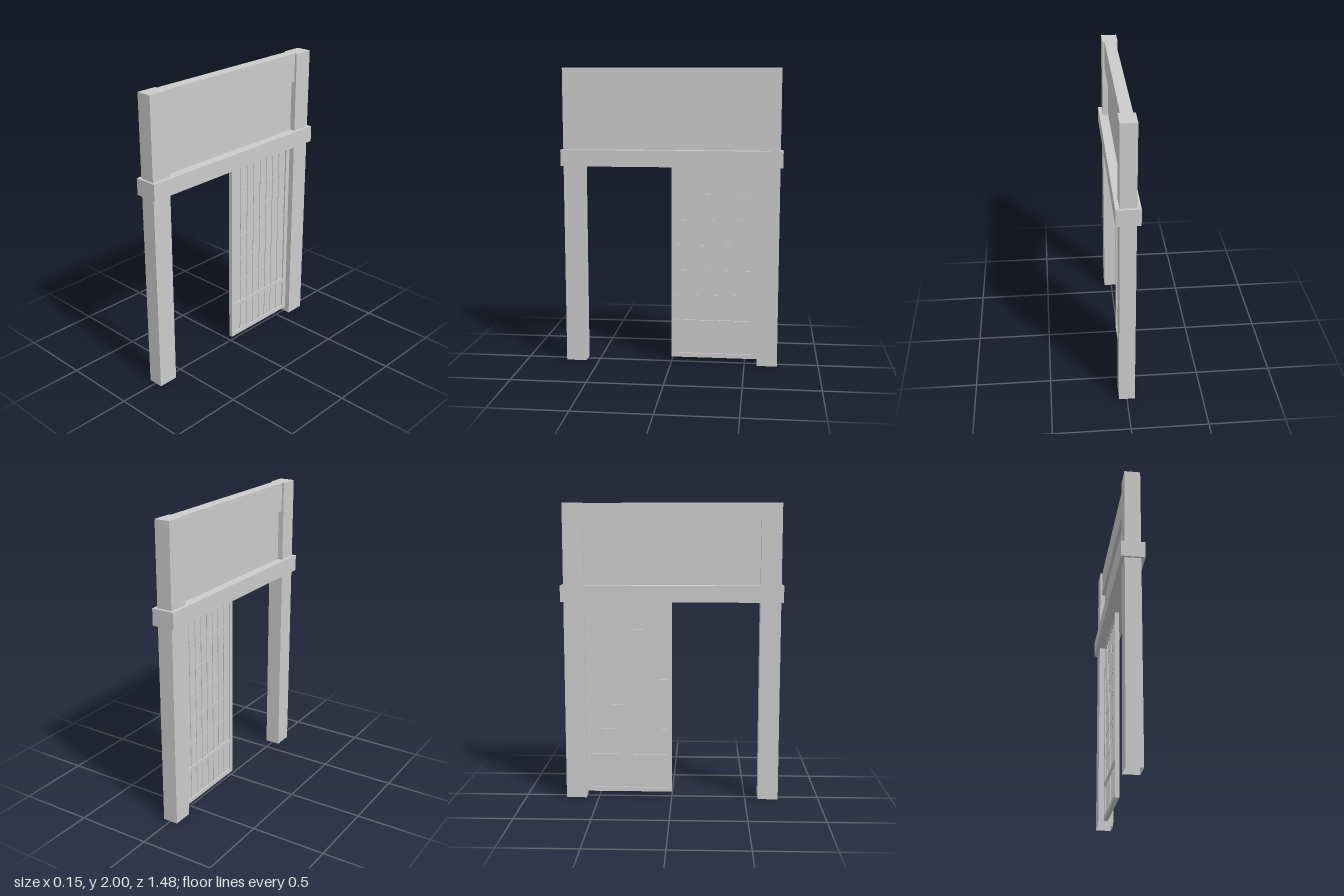
import * as THREE from 'three';

const material = new THREE.MeshStandardMaterial({ color: 0xcccccc, flatShading: true });
const openMaterial = new THREE.MeshStandardMaterial({ color: 0xcccccc, flatShading: true, side: THREE.DoubleSide });

// Box centred on x = 0, given its thickness and its y and z ranges
function slab(name, thickness, y0, y1, z0, z1) {
  const mesh = new THREE.Mesh(new THREE.BoxGeometry(thickness, y1 - y0, z1 - z0), material);
  mesh.position.set(0, (y0 + y1) / 2, (z0 + z1) / 2);
  mesh.name = name;
  return mesh;
}

// Hollow post, open at the foot
function makePost(name, z0, z1) {
  const post = slab(name, 0.104, 0, 2, z0, z1);
  const index = Array.from(post.geometry.index.array);
  index.splice(18, 6); // drop the bottom face
  post.geometry.setIndex(index);
  post.geometry.clearGroups();
  post.material = openMaterial;
  return post;
}

// Sliding lattice door: frame, paper and thin bars on both sides
function makeDoor() {
  const door = new THREE.Group();
  door.name = 'slidingDoor';
  const bottom = 0.035, top = 1.36, back = -0.59;
  const inner = -0.03, outer = -0.55;
  const railLow = 0.27, railHigh = 0.298, latticeTop = 1.33, kickBottom = 0.063;
  const frame = 0.028;

  door.add(
    slab('doorPaper', 0.008, bottom + 0.01, top - 0.01, back + 0.01, -0.01),
    slab('frontStile', frame, bottom, top, inner, 0),
    slab('backStile', frame, bottom, top, back, outer),
    slab('bottomRail', frame, bottom, kickBottom, outer, inner),
    slab('middleRail', frame, railLow, railHigh, outer, inner),
    slab('topRail', frame, latticeTop, top, outer, inner)
  );

  // Upright bars run through the lattice and the kick panel
  const columns = 8, rows = 6, half = 0.004;
  for (let i = 1; i < columns; i++) {
    const z = inner + ((outer - inner) * i) / columns;
    door.add(slab('latticeUpright', 0.018, railHigh, latticeTop, z - half, z + half));
    door.add(slab('kickPanelUpright', 0.018, kickBottom, railLow, z - half, z + half));
  }
  // Cross bars sit slightly behind the uprights
  for (let i = 1; i < rows; i++) {
    const y = railHigh + ((latticeTop - railHigh) * i) / rows;
    door.add(slab('latticeCrossBar', 0.014, y - half, y + half, outer, inner));
  }
  return door;
}

export function createModel() {
  const model = new THREE.Group();
  model.name = 'doorway';
  model.add(
    makePost('frontPost', 0.588, 0.725),
    makePost('backPost', -0.722, -0.585),
    slab('lintelBeam', 0.154, 1.35, 1.46, -0.74, 0.74),
    slab('headerBeam', 0.075, 1.805, 2, -0.59, 0.59),
    slab('headerPanel', 0.03, 1.45, 1.81, -0.59, 0.59),
    makeDoor()
  );
  return model;
}
